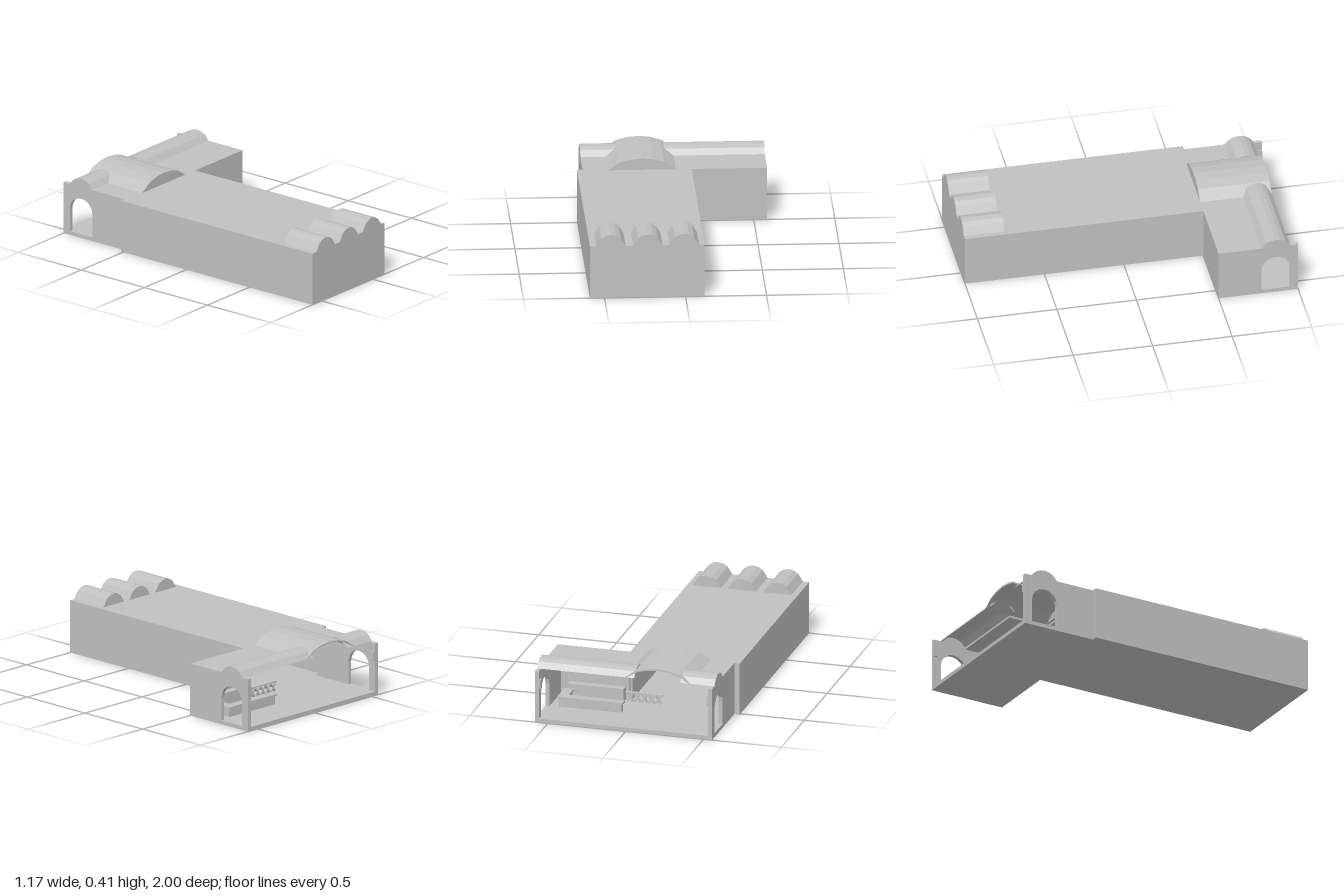
import * as THREE from 'three';

export function createModel() {
  const model = new THREE.Group();
  const stone = new THREE.MeshStandardMaterial({ color: 0xc0c0c0, side: THREE.DoubleSide });
  stone.name = 'pale grey stone';

  const add = (name, geo, parent = model) => {
    const mesh = new THREE.Mesh(geo, stone);
    mesh.name = name;
    parent.add(mesh);
    return mesh;
  };
  // Box given by its limits on each axis
  const box = (name, x0, x1, y0, y1, z0, z1, parent) => {
    const m = add(name, new THREE.BoxGeometry(x1 - x0, y1 - y0, z1 - z0), parent);
    m.position.set((x0 + x1) / 2, (y0 + y1) / 2, (z0 + z1) / 2);
    return m;
  };
  const shapeOf = (pts) => new THREE.Shape(pts.map(([a, b]) => new THREE.Vector2(a, b)));
  // Profile in x,y drawn out along z
  const alongZ = (name, shape, z0, z1) => {
    const geo = new THREE.ExtrudeGeometry(shape, { depth: z1 - z0, bevelEnabled: false });
    add(name, geo).position.z = z0;
  };
  // Profile in z,y drawn out along x
  const alongX = (name, shape, x0, x1) => {
    const geo = new THREE.ExtrudeGeometry(shape, { depth: x1 - x0, bevelEnabled: false });
    geo.rotateY(-Math.PI / 2);
    add(name, geo).position.x = x1;
  };
  // Faceted arch curve; a lowered copy makes the underside of a shell
  const curve = (mid, half, base, rise) =>
    [[-1, 0], [-0.66, 0.66], [-0.34, 0.91], [0, 1], [0.34, 0.91], [0.66, 0.66], [1, 0]]
      .map(([u, v]) => [mid + u * half, base + v * rise]);
  const shell = (mid, half, base, rise, t) =>
    shapeOf([...curve(mid, half, base, rise), ...curve(mid, half - t, base, rise - t).reverse()]);

  const H = 0.335, FLOOR = 0.025, T = 0.015;
  const W0 = -0.59, W1 = 0.117;   // long hall width
  const E0 = -0.555, E1 = 0.583;  // cross wing width
  const V0 = -0.40, V1 = 0.02;    // central vault width
  const Z = -0.5;                 // where hall and wing meet

  // Long hall
  box('hallFloor', W0, W1, 0, FLOOR, Z, 1);
  box('hallRoof', W0, W1, H - T, H, Z, 1);
  box('hallFrontWall', W0, W1, 0, H, 1 - T, 1);
  box('hallRightWall', W0, W0 + T, 0, H, -0.515, 1);
  box('hallLeftWall', W1 - T, W1, 0, H, Z, 1);
  box('hallRearReturn', W0, E0 + 0.01, 0, H, -0.515, Z);

  // Three rounded roof lights above the front
  for (const x of [-0.46, -0.233, -0.007]) {
    alongZ('frontRoofVault', shapeOf(curve(x, 0.091, H, 0.072)), 0.745, 1);
  }

  // Cross wing, open at the back
  box('wingFloor', E0, E1, 0, FLOOR, -1, Z);
  box('wingFrontWall', W1, E1, 0, H, Z - T, Z);
  box('wingRoofRight', E0, V0, H - T, H, -0.775, Z);
  box('wingRoofLeft', V1, E1, H - T, H, -0.775, Z);

  // End walls with a humped top and an arched doorway
  const endShape = shapeOf([
    [-1, 0], [Z, 0], [Z, H], ...curve(-0.86, 0.09, H, 0.053).reverse(), [-1, H],
  ]);
  const door = [[-0.95, FLOOR], [-0.77, FLOOR]];
  for (let i = 0; i <= 8; i++) {
    const a = (i / 8) * Math.PI;
    door.push([-0.86 + 0.09 * Math.cos(a), 0.17 + 0.09 * Math.sin(a)]);
  }
  endShape.holes.push(new THREE.Path(door.map(([a, b]) => new THREE.Vector2(a, b))));
  alongX('rightEndWall', endShape, E0, E0 + 0.025);
  alongX('leftEndWall', endShape, E1 - 0.025, E1);
  for (const x of [E0 + 0.025, E1 - 0.037]) {
    box('endWallBracket', x, x + 0.012, 0.22, 0.28, -1, -0.975);
  }

  // Barrel vaults on both sides of the central vault
  const barrel = shell(-0.86, 0.09, H, 0.053, 0.01);
  alongX('rightBarrelVault', barrel, E0, -0.335);
  alongX('leftBarrelVault', barrel, -0.04, E1);

  // Wide central vault and its closed front gable
  const mid = (V0 + V1) / 2, half = (V1 - V0) / 2;
  alongZ('centralVault', shell(mid, half, H, 0.073, 0.01), -0.95, Z);
  alongZ('centralVaultGable', shapeOf(curve(mid, half, H, 0.073)), Z - T, Z);

  // Service counters
  const counters = new THREE.Group();
  counters.name = 'serviceCounters';
  model.add(counters);
  box('counterBody', 0.10, 0.50, FLOOR, 0.08, -0.755, -0.72, counters);
  box('counterTop', 0.09, 0.51, 0.08, 0.092, -0.767, -0.71, counters);
  box('counterReturn', 0.46, 0.50, FLOOR, 0.08, -0.72, -0.6, counters);
  box('counterReturnTop', 0.45, 0.51, 0.08, 0.092, -0.71, -0.6, counters);
  box('rearCabinet', 0.14, 0.50, FLOOR, 0.11, -0.57, -0.52, counters);

  // Row of crossed barrier frames
  const barriers = new THREE.Group();
  barriers.name = 'barriers';
  model.add(barriers);
  for (let i = 0; i < 5; i++) {
    const x = -0.08 + i * 0.045;
    for (const tilt of [-0.6, 0.6]) {
      const bar = box('barrierBar', x - 0.005, x + 0.005, FLOOR, 0.09, -0.565, -0.545, barriers);
      bar.rotation.z = tilt;
    }
  }
  box('barrierRail', -0.11, 0.13, 0.085, 0.093, -0.565, -0.545, barriers);

  return model;
}
